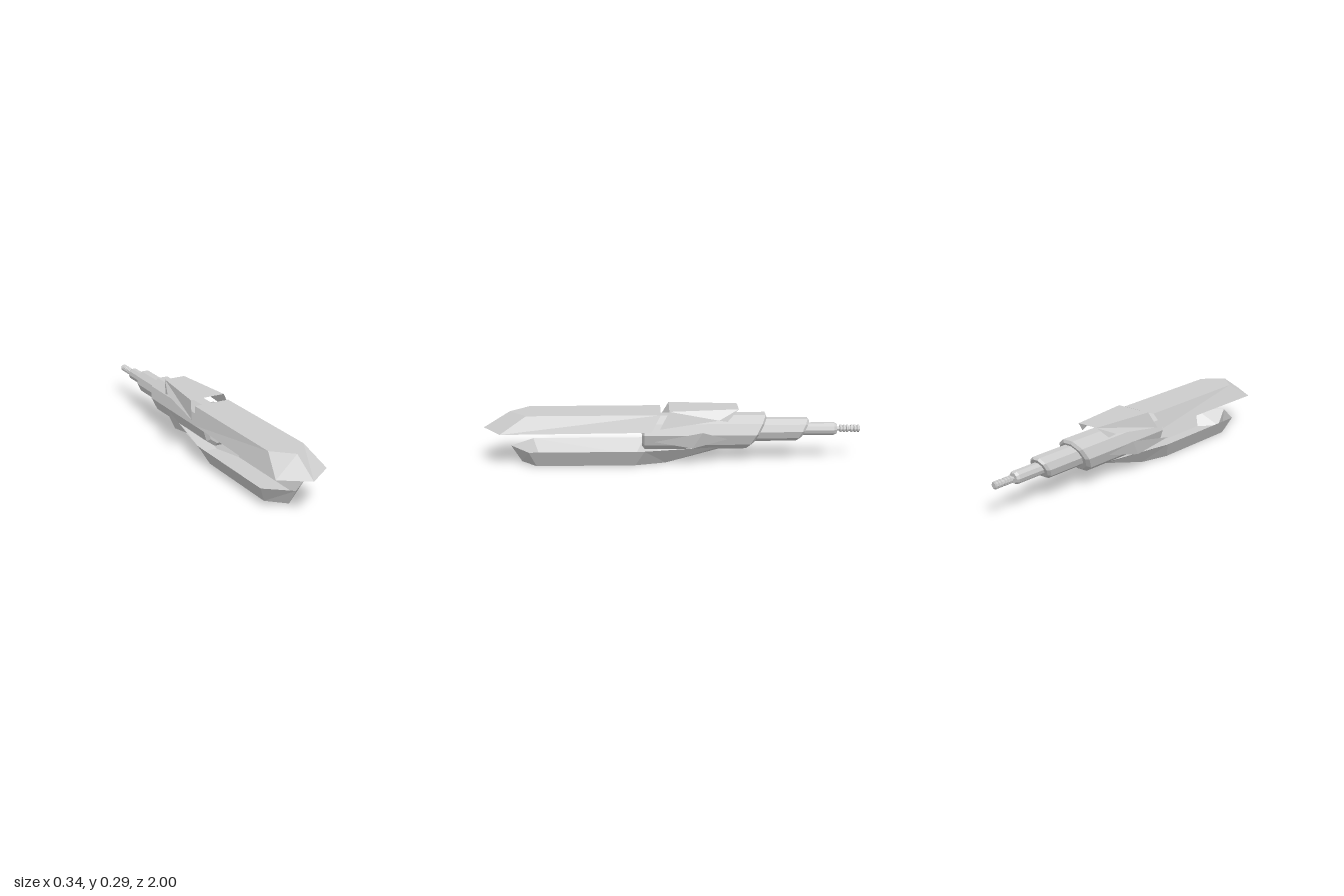
import * as THREE from 'three';

const material = new THREE.MeshStandardMaterial({
  color: 0xcccccc, flatShading: true, side: THREE.DoubleSide,
});

// Flat-faced shell from a list of polygons, each fanned into triangles
function shell(name, polygons) {
  const pos = [];
  for (const p of polygons)
    for (let i = 1; i < p.length - 1; i++) pos.push(...p[0], ...p[i], ...p[i + 1]);
  const geo = new THREE.BufferGeometry();
  geo.setAttribute('position', new THREE.Float32BufferAttribute(pos, 3));
  geo.computeVertexNormals();
  const mesh = new THREE.Mesh(geo, material);
  mesh.name = name;
  return mesh;
}

const flip = ([x, y, z]) => [-x, y, z];
const flipFace = (face) => face.map(flip).reverse();
const mirrored = (faces) => [...faces, ...faces.map(flipFace)];

// Ten-sided tube along z. Profile points are [radius, z], front to back;
// points behind shearFrom lean backwards with height.
function tube(name, centerY, profile, shear = 0, shearFrom = -9, sides = 10) {
  const pts = profile.map(([r, z]) => new THREE.Vector2(r, -z));
  const geo = new THREE.LatheGeometry(pts, sides, Math.PI / sides);
  geo.rotateX(-Math.PI / 2);
  const p = geo.attributes.position;
  for (let i = 0; i < p.count; i++)
    if (p.getZ(i) < shearFrom) p.setZ(i, p.getZ(i) - shear * p.getY(i));
  geo.computeVertexNormals();
  const mesh = new THREE.Mesh(geo, material);
  mesh.name = name;
  mesh.position.y = centerY;
  return mesh;
}

// Long upper cover, open underneath, with a pointed nose
function upperCover() {
  const noseLow = [0, 0.19, 1], noseTop = [0, 0.277, 0.86];
  const cornerLow = [0.143, 0.19, 0.9], cornerTop = [0.1, 0.277, 0.765];
  const rearLow = [0.128, 0.19, 0.115], rearTop = [0.1, 0.277, 0.065];
  return shell('upperCover', [
    [noseTop, cornerTop, rearTop, flip(rearTop), flip(cornerTop)],
    ...mirrored([
      [noseLow, cornerLow, cornerTop, noseTop],
      [cornerLow, rearLow, rearTop, cornerTop],
    ]),
  ]);
}

// Lower hull, open on top, tapering up to the barrel at the rear
function lowerHull() {
  const noseTop = [0, 0.088, 0.86], noseLow = [0, 0, 0.805];
  const cornerTop = [0.13, 0.088, 0.755], cornerLow = [0.088, 0, 0.72];
  const sideTop = [0.13, 0.088, 0.15], sideLow = [0.088, 0, 0.2];
  const keel = [0.045, 0, 0.04];
  const tailTop = [0.06, 0.088, -0.24], tailLow = [0.03, 0.07, -0.24];
  return shell('lowerHull', [
    [noseLow, flip(cornerLow), flip(sideLow), flip(keel), keel, sideLow, cornerLow],
    [keel, flip(keel), flip(tailLow), tailLow],
    ...mirrored([
      [noseLow, cornerLow, cornerTop, noseTop],
      [cornerLow, sideLow, sideTop, cornerTop],
      [sideLow, keel, sideTop],
      [keel, tailLow, tailTop, sideTop],
    ]),
  ]);
}

// Short raised cover over the barrel
function rearCover() {
  const frontTop = [0.1, 0.295, 0.02], frontLow = [0.122, 0.205, 0.07];
  const backTop = [0.06, 0.295, -0.345];
  const notch = [0.1, 0.245, -0.24], spur = [0.09, 0.235, -0.285];
  return shell('rearCover', [
    [frontTop, backTop, flip(backTop), flip(frontTop)],
    ...mirrored([[frontTop, frontLow, notch, backTop], [notch, spur, backTop]]),
  ]);
}

// Thin diamond blade standing off the barrel's side
function sideFin(name, side) {
  const tip = [0.168, 0.152, 0.1], top = [0.14, 0.19, -0.153];
  const root = [0.088, 0.14, -0.287], low = [0.13, 0.103, -0.1];
  const faces = [[tip, low, top], [low, root, top]];
  return shell(name, side > 0 ? faces : faces.map(flipFace));
}

export function createModel() {
  const group = new THREE.Group();
  group.add(upperCover(), lowerHull(), rearCover());
  group.add(sideFin('leftFin', 1), sideFin('rightFin', -1));

  // Telescoping barrel, each section with a slanted, bevelled rear end
  group.add(tube('mainBarrel', 0.163,
    [[0, 0.165], [0.077, 0.165], [0.097, 0.15], [0.097, -0.44], [0.08, -0.455], [0, -0.455]],
    0.55, -0.4));
  group.add(tube('middleBarrel', 0.168,
    [[0, -0.38], [0.063, -0.38], [0.063, -0.685], [0.052, -0.7], [0, -0.7]],
    0.5, -0.6));
  group.add(tube('thinBarrel', 0.168,
    [[0, -0.6], [0.034, -0.6], [0.034, -0.86], [0.026, -0.875], [0, -0.875]]));

  // Ribbed tip: two groups of rings on a narrow stem
  const ribs = [[0.01, -0.87], [0.01, -0.89]];
  for (const start of [-0.89, -0.948])
    for (let i = 0; i < 3; i++) {
      const z = start - i * 0.0173;
      ribs.push([0.014, z], [0.02, z - 0.003], [0.02, z - 0.012], [0.014, z - 0.015]);
    }
  ribs.push([0.014, -1], [0, -1]);
  group.add(tube('ribbedTip', 0.168, ribs));
  return group;
}
